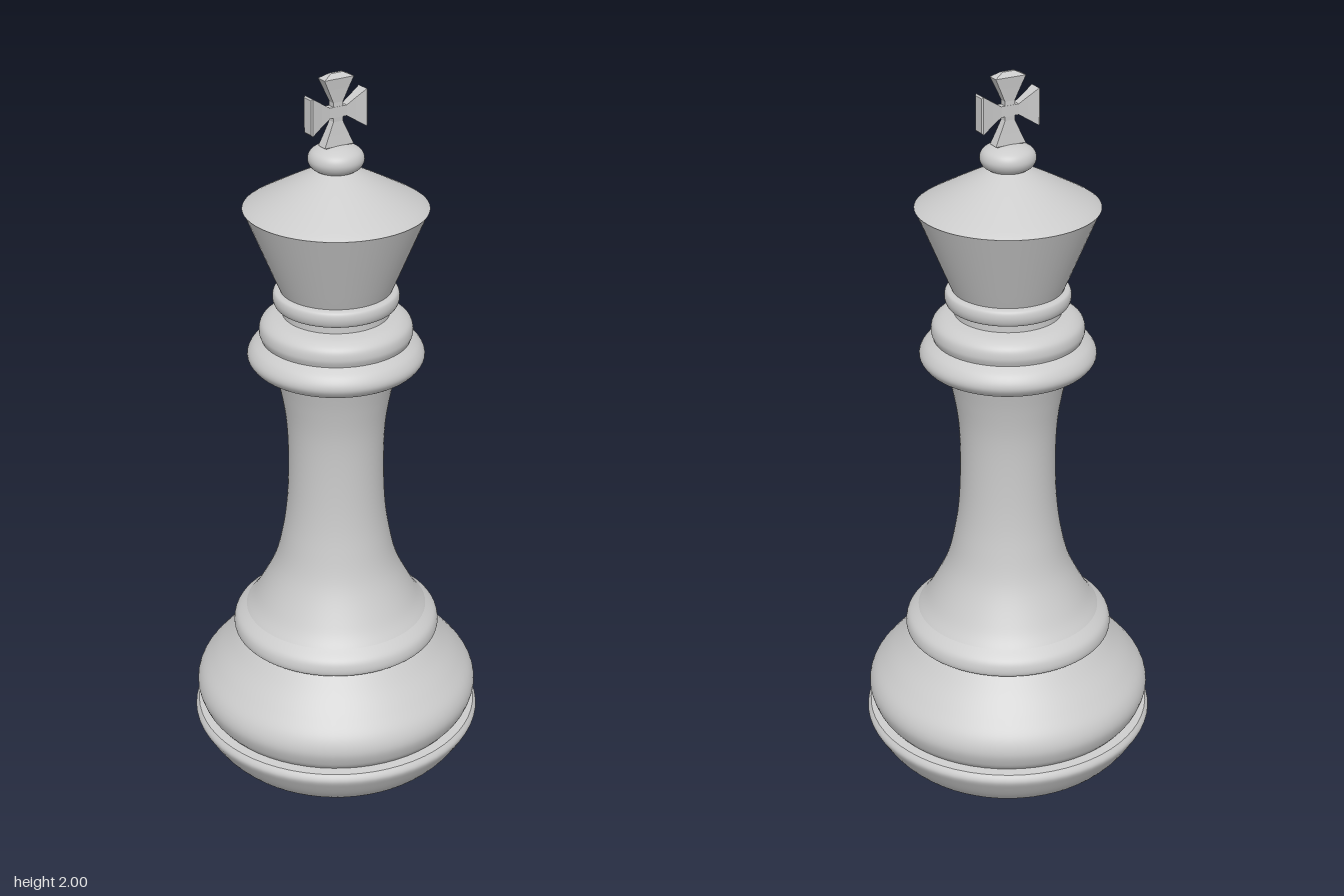
import * as THREE from 'three';

const grey = new THREE.MeshStandardMaterial({ color: 0xcccccc, side: THREE.DoubleSide });
const facetedGrey = new THREE.MeshStandardMaterial({ color: 0xcccccc, flatShading: true });

// Turned part: a smooth curve through [radius, height] points, or straight lines
function turned(name, profile, smooth = true) {
  let points = profile.map(([r, y]) => new THREE.Vector2(r, y));
  if (smooth) points = new THREE.SplineCurve(points).getPoints(profile.length * 5);
  points.forEach((p) => { p.x = Math.max(p.x, 0); });
  const mesh = new THREE.Mesh(new THREE.LatheGeometry(points, 64), grey);
  mesh.name = name;
  return mesh;
}

// Flared arm pointing up: rows of [distance, half width, half depth]
function crossArm(name, rows, angle) {
  const geometry = new THREE.BoxGeometry(2, 1, 2, 1, rows.length - 1, 1);
  const pos = geometry.attributes.position;
  for (let i = 0; i < pos.count; i++) {
    const row = Math.round((pos.getY(i) + 0.5) * (rows.length - 1));
    const [t, w, d] = rows[row];
    pos.setXYZ(i, pos.getX(i) * w, t, pos.getZ(i) * d);
  }
  geometry.computeVertexNormals();
  const mesh = new THREE.Mesh(geometry, facetedGrey);
  mesh.name = name;
  mesh.rotation.z = angle;
  return mesh;
}

export function createModel() {
  const model = new THREE.Group();
  model.name = 'chessKing';

  // Base: flat underside, rounded foot and bulging body
  model.add(
    turned('underside', [[0, 0], [0.29, 0]], false),
    turned('foot', [[0.29, 0], [0.325, 0.015], [0.36, 0.05], [0.39, 0.095], [0.404, 0.125], [0.395, 0.145]]),
    turned('footGroove', [[0.395, 0.145], [0.37, 0.148]], false),
    turned('body', [[0.37, 0.148], [0.385, 0.17], [0.396, 0.21], [0.385, 0.25], [0.35, 0.295],
      [0.305, 0.345], [0.272, 0.385]]),
    turned('bodyCollar', [[0.272, 0.385], [0.286, 0.395], [0.287, 0.415], [0.278, 0.435], [0.252, 0.457]]),
  );

  // Waisted column
  model.add(turned('column', [[0.252, 0.457], [0.222, 0.5], [0.172, 0.6], [0.147, 0.7], [0.134, 0.8],
    [0.13, 0.92], [0.134, 1.03], [0.148, 1.12], [0.166, 1.195]]));

  // Stacked neck rings
  model.add(
    turned('largeRing', [[0.166, 1.195], [0.21, 1.2], [0.232, 1.22], [0.235, 1.24], [0.222, 1.262], [0.198, 1.28]]),
    turned('middleRing', [[0.198, 1.28], [0.204, 1.3], [0.198, 1.325], [0.175, 1.342], [0.142, 1.35]]),
    turned('neck', [[0.142, 1.35], [0.142, 1.37]], false),
    turned('smallRing', [[0.142, 1.37], [0.16, 1.376], [0.167, 1.395], [0.163, 1.414], [0.148, 1.42]]),
  );

  // Crown: flared sides, sloping top and round finial
  model.add(
    turned('crownSide', [[0.148, 1.42], [0.165, 1.46], [0.24, 1.643]], false),
    turned('crownTop', [[0.242, 1.643], [0.215, 1.66], [0.12, 1.712], [0.05, 1.748]]),
    turned('finial', [[0.045, 1.742], [0.065, 1.755], [0.073, 1.775], [0.064, 1.796], [0.035, 1.81], [0, 1.814]]),
  );

  // Cross with four arms that flare in width and depth
  const cross = new THREE.Group();
  cross.name = 'cross';
  cross.position.y = 1.9;
  const upright = [[0, 0.014, 0.011], [0.025, 0.014, 0.01], [0.06, 0.03, 0.013], [0.088, 0.043, 0.016], [0.1, 0.018, 0.004]];
  const side = [[0, 0.014, 0.011], [0.025, 0.014, 0.011], [0.05, 0.03, 0.014], [0.08, 0.049, 0.019], [0.084, 0.045, 0.016]];
  cross.add(
    crossArm('topArm', upright, 0),
    crossArm('bottomArm', upright, Math.PI),
    crossArm('leftArm', side, -Math.PI / 2),
    crossArm('rightArm', side, Math.PI / 2),
  );
  model.add(cross);
  return model;
}
